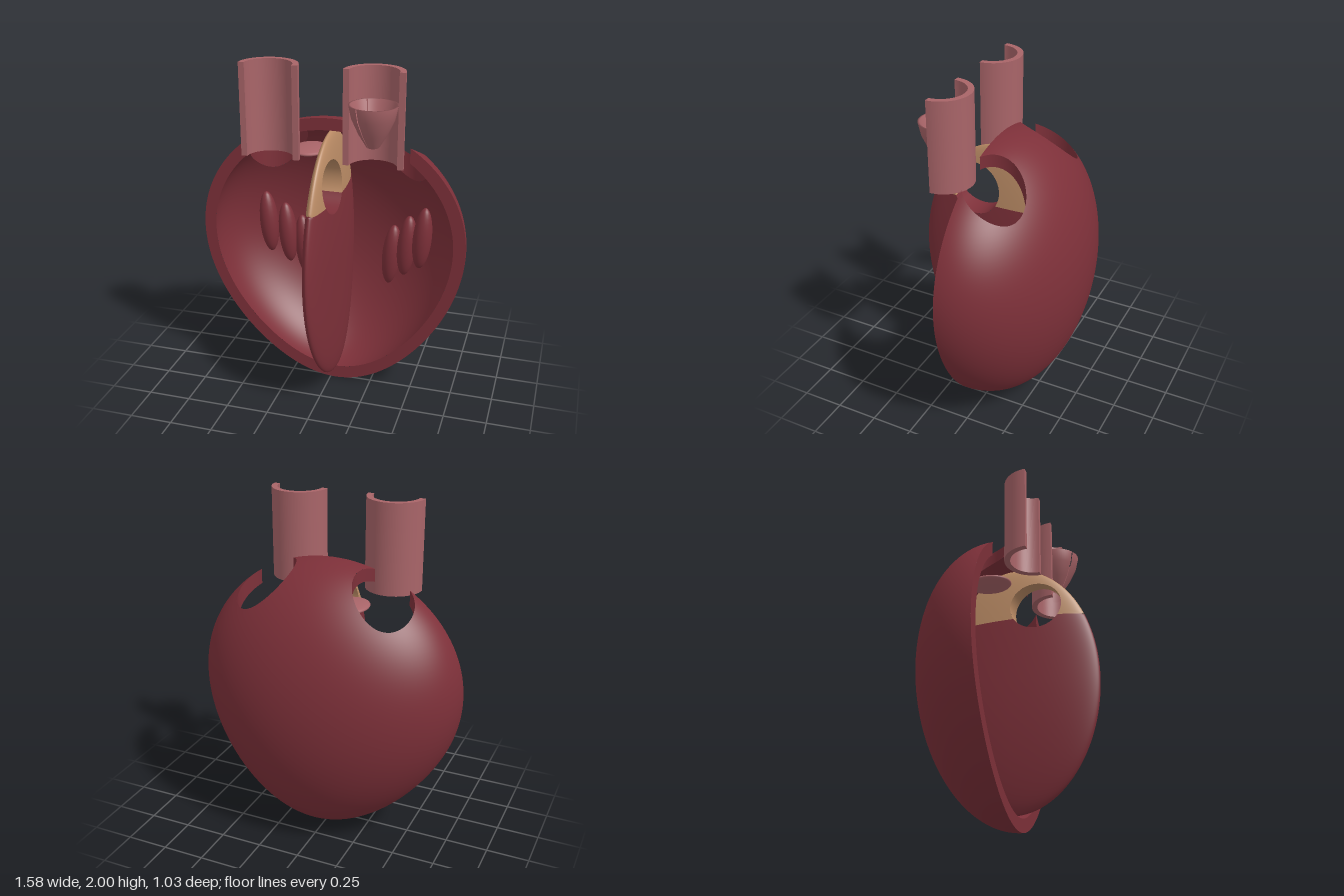
import * as THREE from 'three';
import { mergeVertices } from 'three/addons/utils/BufferGeometryUtils.js';

const muscle = new THREE.MeshStandardMaterial({ color: 0x7d3039 });
muscle.name = 'muscle red';
const vessel = new THREE.MeshStandardMaterial({ color: 0xa86468 });
vessel.name = 'vessel pink';
const membrane = new THREE.MeshStandardMaterial({ color: 0xb98a64 });
membrane.name = 'membrane tan';

const { sin, cos, sqrt, hypot, PI } = Math;
const CUT = 0.02; // z of the front cutting plane
const HOLE = { x: 0.352, z: -0.115, r: 0.17 }; // vertical openings in the shell
const OUTER = { a: 1, b: 0.835, c: 0.535, y: 0.835 };
const INNER = { a: 0.91, b: 0.76, c: 0.46, y: 0.84 };

// half width and sideways lean of the tapered body at relative height t (-1..1)
const width = (t) => 0.785 + 0.11 * t - 0.05 * t * t;
const lean = (t) => (t < 0 ? 0.03 * t * t : 0);

function wallPoint(L, phi, psi) {
  const t = sin(phi);
  return new THREE.Vector3(
    L.a * width(t) * cos(phi) * cos(psi) + lean(t),
    L.y + L.b * t,
    CUT - L.c * cos(phi) * sin(psi));
}

// height of a wall layer above a point in plan
function wallHeight(L, x, z) {
  let lo = 0, hi = 1;
  for (let i = 0; i < 30; i++) {
    const t = (lo + hi) / 2;
    const f = (x / (L.a * width(t))) ** 2 + ((z - CUT) / L.c) ** 2 + t * t;
    if (f < 1) lo = t; else hi = t;
  }
  return L.y + L.b * lo;
}

const outsideHoles = (p) => (p.y > 1 ? hypot(Math.abs(p.x) - HOLE.x, p.z - HOLE.z) - HOLE.r : 1);

// keep the part of a polygon where f >= 0
function clip(poly, f) {
  const out = [];
  poly.forEach((p, i) => {
    const q = poly[(i + 1) % poly.length], fp = f(p), fq = f(q);
    if (fp >= 0) out.push(p);
    if (fp >= 0 !== fq >= 0) out.push(p.clone().lerp(q, fp / (fp - fq)));
  });
  return out;
}

// grid surface from fn(u, v), optionally reversed and clipped
function surface(fn, nu, nv, flip = false, keep = null) {
  const pos = [];
  const add = (a, b, c) => {
    let poly = flip ? [a, c, b] : [a, b, c];
    if (keep) poly = clip(poly, keep);
    for (let k = 1; k + 1 < poly.length; k++) {
      const tri = [poly[0], poly[k], poly[k + 1]];
      if (new THREE.Triangle(...tri).getArea() > 1e-9) tri.forEach((p) => pos.push(p.x, p.y, p.z));
    }
  };
  for (let i = 0; i < nu; i++) {
    for (let j = 0; j < nv; j++) {
      const a = fn(i / nu, j / nv), b = fn((i + 1) / nu, j / nv);
      const c = fn((i + 1) / nu, (j + 1) / nv), d = fn(i / nu, (j + 1) / nv);
      add(a, b, c);
      add(a, c, d);
    }
  }
  const g = new THREE.BufferGeometry();
  g.setAttribute('position', new THREE.Float32BufferAttribute(pos, 3));
  const merged = mergeVertices(g, 1e-5);
  merged.computeVertexNormals();
  return merged;
}

function add(parent, name, geometry, material) {
  const m = new THREE.Mesh(geometry, material);
  m.name = name;
  parent.add(m);
  return m;
}

function buildShell() {
  const g = new THREE.Group();
  g.name = 'heartShell';
  const layer = (L) => (u, v) => wallPoint(L, (v - 0.5) * PI, u * PI);
  add(g, 'outerWall', surface(layer(OUTER), 96, 72, false, outsideHoles), muscle);
  add(g, 'innerWall', surface(layer(INNER), 96, 72, true, outsideHoles), muscle);
  const rim = (u, v) => wallPoint(OUTER, u * 2 * PI, 0).lerp(wallPoint(INNER, u * 2 * PI, 0), v);
  add(g, 'cutRim', surface(rim, 160, 4, false, outsideHoles), muscle);
  // sides of the two openings, up to the cutting plane
  const end = Math.asin((CUT - HOLE.z) / HOLE.r);
  for (const s of [1, -1]) {
    const edge = (u, v) => {
      const ang = PI - end + u * (PI + 2 * end);
      const x = s * (HOLE.x + HOLE.r * cos(ang)), z = HOLE.z + HOLE.r * sin(ang);
      return new THREE.Vector3(x, wallHeight(v ? INNER : OUTER, x, z), z);
    };
    add(g, 'openingEdge', surface(edge, 48, 1, s > 0), muscle);
  }
  return g;
}

// lens-shaped dividing wall with a round window and a tan upper part
function buildSeptum() {
  const g = new THREE.Group();
  g.name = 'septum';
  const oz = 0.155, oy = 1.32, r0 = 0.153, drop = 0.08;
  const level = (z, y) => (z / (z > 0 ? 0.515 : 0.42)) ** 2 + ((y - 0.84) / 0.76) ** 2;
  const reach = (b) => {
    let lo = 0, hi = 2;
    for (let i = 0; i < 40; i++) {
      const r = (lo + hi) / 2;
      if (level(oz + r * cos(b), oy + r * sin(b)) < 1) lo = r; else hi = r;
    }
    return lo;
  };
  const point = (b, r, side) => {
    const z = oz + r * cos(b), y = oy + r * sin(b);
    const h = 0.08 * sqrt(Math.max(0, 1 - level(z, y)));
    return new THREE.Vector3(side * h + lean((y - 0.84) / 0.76), y, z);
  };
  // radius at which a ray from the window leaves the tan part
  const border = (b, R) => (sin(b) < -1e-6 ? Math.min(R, Math.max(r0, -drop / sin(b))) : R);
  const a = Math.asin(drop / r0);
  for (const side of [1, -1]) {
    const sheet = (tan) => (u, v) => {
      const b = tan ? -a + u * (PI + 2 * a) : PI + u * PI;
      const R = reach(b), m = border(b, R), w = sin(v * PI / 2);
      return point(b, tan ? r0 + (m - r0) * w : m + (R - m) * w, side);
    };
    add(g, 'septumMuscle', surface(sheet(false), 128, 24, side < 0), muscle);
    add(g, 'septumMembrane', surface(sheet(true), 128, 16, side < 0), membrane);
  }
  const tunnel = (from, to) => (u, v) => {
    const b = from + u * (to - from);
    return point(b, r0, 1).lerp(point(b, r0, -1), v);
  };
  add(g, 'windowEdgeUpper', surface(tunnel(-a, PI + a), 48, 1, true), membrane);
  add(g, 'windowEdgeLower', surface(tunnel(PI + a, 2 * PI - a), 32, 1, true), muscle);
  return g;
}

// upright half pipe, open to the front
function halfPipe() {
  const s = new THREE.Shape();
  s.absarc(0, 0, 0.167, 0, PI, false);
  s.absarc(0, 0, 0.133, PI, 0, true);
  const g = new THREE.ExtrudeGeometry(s, { depth: 0.525, bevelEnabled: false, curveSegments: 32 });
  return g.rotateX(-PI / 2);
}

export function createModel() {
  const model = new THREE.Group();
  model.name = 'heartCutaway';
  model.add(buildShell(), buildSeptum());

  // ridged muscles on the back wall, three to a side
  const ridges = [[0.49, 0.875, -0.28], [0.385, 0.79, -0.335], [0.285, 0.705, -0.365]];
  for (const s of [1, -1]) {
    for (const [x, y, z] of ridges) {
      const m = add(model, 'papillaryMuscle', new THREE.SphereGeometry(1, 24, 16), muscle);
      m.scale.set(0.058, 0.2, 0.06);
      m.position.set(s * x, y, z);
      m.rotation.z = -s * 0.08;
    }
  }

  // great vessels
  for (const x of [0.289, -0.293]) {
    add(model, 'vessel', halfPipe(), vessel).position.set(x, 1.475, 0.212);
  }

  // three-leaf cup valve in front of the left vessel
  const valve = new THREE.Group();
  valve.name = 'cupValve';
  valve.position.set(0.289, 0, 0.212);
  const profile = [[0.034, 1.59], [0.08, 1.665], [0.118, 1.75], [0.133, 1.822],
    [0.123, 1.822], [0.108, 1.755], [0.07, 1.675], [0.03, 1.605], [0.034, 1.59]]
    .map(([r, y]) => new THREE.Vector2(r, y));
  for (let i = 0; i < 3; i++) {
    const start = PI / 2 + i * 2 * PI / 3 + 0.025;
    add(valve, 'valveLeaf', new THREE.LatheGeometry(profile, 20, start, 2 * PI / 3 - 0.05), vessel);
  }
  model.add(valve);

  // flat valve inside the right chamber
  const disc = add(model, 'flatValve', new THREE.SphereGeometry(1, 32, 12), vessel);
  disc.scale.set(0.105, 0.022, 0.13);
  disc.position.set(-0.155, 1.445, -0.095);
  return model;
}
